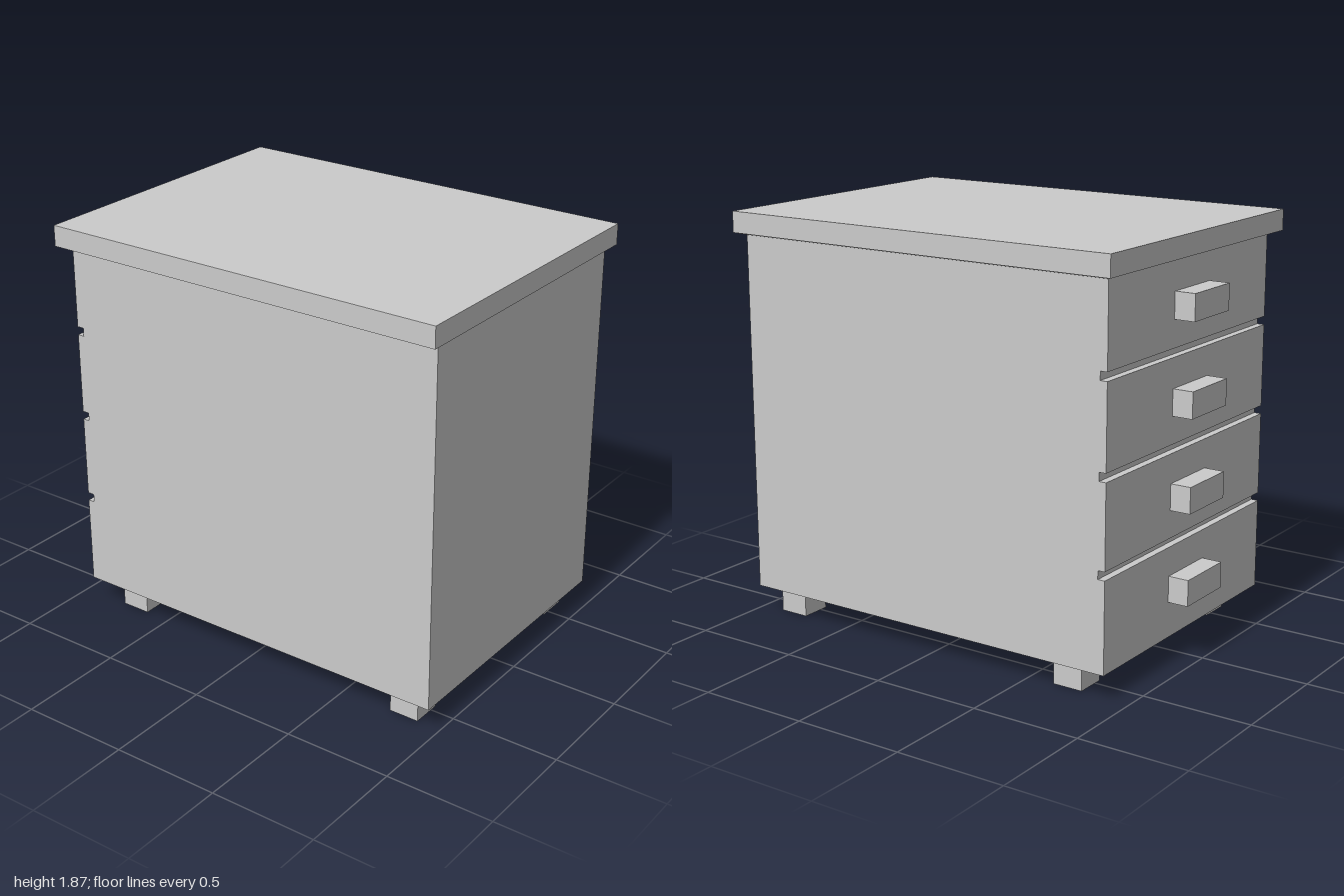
import * as THREE from 'three';

const material = new THREE.MeshStandardMaterial({ color: 0xcccccc, flatShading: true });

function addMesh(parent, name, geometry) {
  const mesh = new THREE.Mesh(geometry, material);
  mesh.name = name;
  parent.add(mesh);
  return mesh;
}

// Box given by its lower and upper corners
function addBox(parent, name, [x0, y0, z0], [x1, y1, z1]) {
  const mesh = addMesh(parent, name, new THREE.BoxGeometry(x1 - x0, y1 - y0, z1 - z0));
  mesh.position.set((x0 + x1) / 2, (y0 + y1) / 2, (z0 + z1) / 2);
  return mesh;
}

export function createModel() {
  const group = new THREE.Group();
  group.name = 'drawerCabinet';

  const face = -0.905, back = 0.975, bottom = 0.12, bodyTop = 1.76, halfDepth = 0.66;
  const slabBottom = 1.775;

  // Cabinet body: side profile with a groove between each pair of drawers
  const profile = new THREE.Shape();
  profile.moveTo(face, bottom);
  profile.lineTo(back, bottom);
  profile.lineTo(back, bodyTop);
  profile.lineTo(face, bodyTop);
  for (const y of [1.373, 0.961, 0.549]) {
    profile.lineTo(face, y + 0.019);
    profile.lineTo(face + 0.033, y + 0.019);
    profile.lineTo(face + 0.033, y - 0.019);
    profile.lineTo(face, y - 0.019);
  }
  profile.closePath();
  const body = new THREE.ExtrudeGeometry(profile, { depth: 2 * halfDepth, bevelEnabled: false });
  body.translate(0, 0, -halfDepth);
  addMesh(group, 'cabinetBody', body);

  // Overhanging worktop
  addBox(group, 'worktop', [-0.95, slabBottom, -0.72], [1, 1.87, 0.72]);

  // Shallow flare from the body out to the worktop
  const flare = new THREE.BoxGeometry(1, 1, 1);
  const p = flare.attributes.position;
  for (let i = 0; i < p.count; i++) {
    const upper = p.getY(i) > 0;
    const x = p.getX(i) > 0 ? (upper ? 1 : back) : (upper ? -0.95 : face);
    const z = Math.sign(p.getZ(i)) * (upper ? 0.72 : halfDepth);
    p.setXYZ(i, x, upper ? slabBottom : bodyTop, z);
  }
  flare.computeVertexNormals();
  addMesh(group, 'worktopFlare', flare);

  // One block handle per drawer
  for (let i = 0; i < 4; i++) {
    const y = 0.34 + i * 0.411;
    addBox(group, `drawerHandle${i + 1}`, [-1, y - 0.059, -0.145], [face, y + 0.059, 0.145]);
  }

  // Four square feet
  for (const x of [-0.695, 0.817]) {
    for (const z of [-0.535, 0.535]) {
      addBox(group, 'foot', [x - 0.07, 0, z - 0.07], [x + 0.07, bottom, z + 0.07]);
    }
  }

  return group;
}
